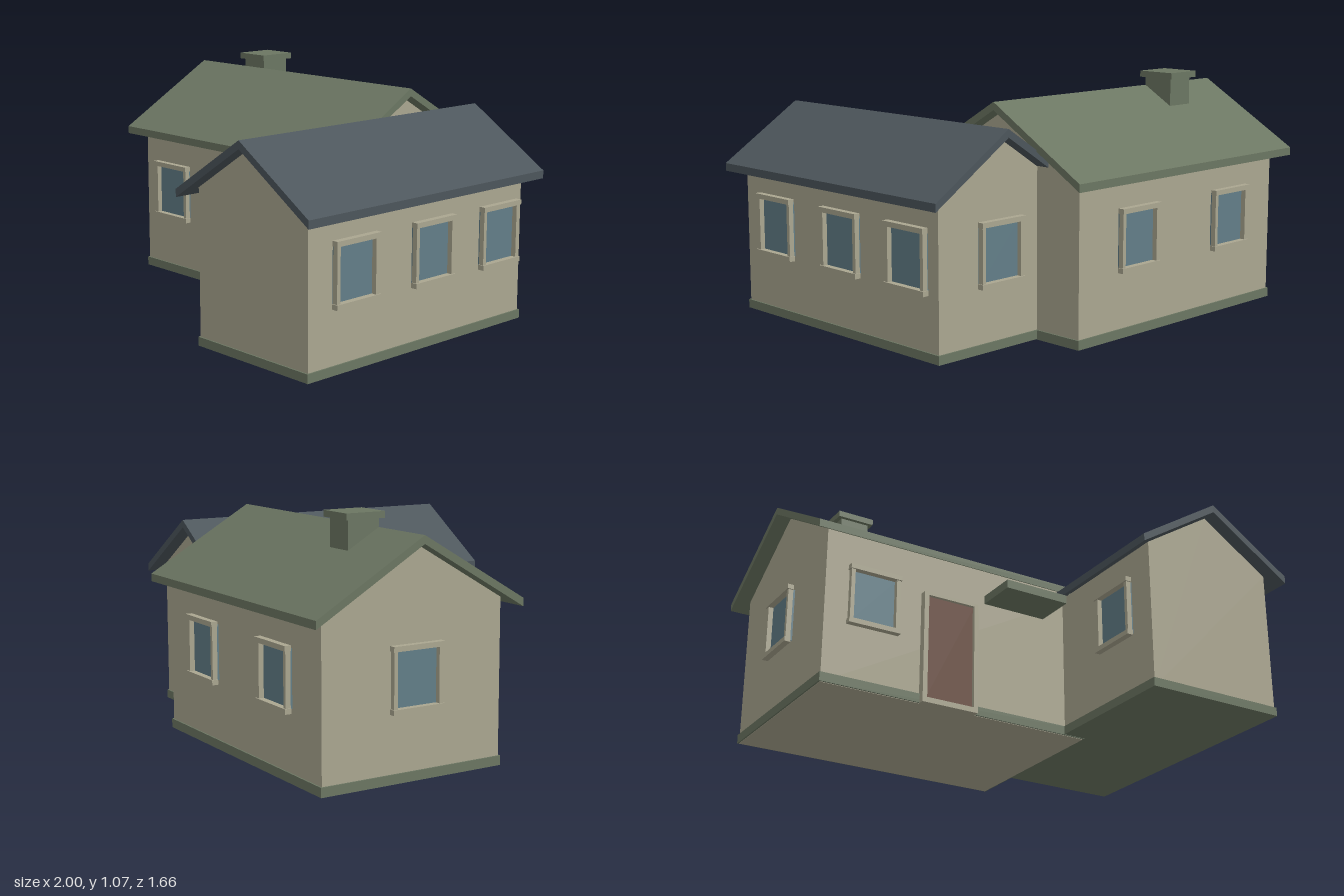
import * as THREE from 'three';

const mat = (name, color) => {
  const m = new THREE.MeshStandardMaterial({ color });
  m.name = name;
  return m;
};

export function createModel() {
  const wall = mat('plaster', 0xaaa690);
  const green = mat('sage green', 0x6b7662);
  const slate = mat('slate blue', 0x4c555b);
  const glass = mat('window glass', 0x627e88);
  const wood = mat('brown door', 0x68493a);

  const house = new THREE.Group();
  house.name = 'house';

  // Box given by its min and max corners
  function box(parent, name, material, [x0, y0, z0], [x1, y1, z1]) {
    const mesh = new THREE.Mesh(new THREE.BoxGeometry(x1 - x0, y1 - y0, z1 - z0), material);
    mesh.position.set((x0 + x1) / 2, (y0 + y1) / 2, (z0 + z1) / 2);
    mesh.name = name;
    parent.add(mesh);
    return mesh;
  }

  // Cross-section extruded along local z, centred
  function prism(parent, name, material, points, length) {
    const shape = new THREE.Shape(points.map(([x, y]) => new THREE.Vector2(x, y)));
    const geo = new THREE.ExtrudeGeometry(shape, { depth: length, bevelEnabled: false });
    geo.translate(0, 0, -length / 2);
    const mesh = new THREE.Mesh(geo, material);
    mesh.name = name;
    parent.add(mesh);
  }

  // Gabled wing with its ridge along local z
  function wing(name, o) {
    const g = new THREE.Group();
    g.name = name;
    const t = 0.035, gap = 0.002;
    const slope = (o.ridge - o.eave) / o.roofHalf;
    const under = x => o.ridge - t - gap - slope * x;
    const w = o.wallHalf, r = o.roofHalf;
    prism(g, name + 'Walls', wall,
      [[-w, o.wallBase], [w, o.wallBase], [w, under(w)], [0, under(0)], [-w, under(w)]], o.wallLength);
    prism(g, name + 'Roof', o.roof,
      [[-r, o.eave - t], [0, o.ridge - t], [r, o.eave - t], [r, o.eave], [0, o.ridge], [-r, o.eave]], o.roofLength);
    const p = 0.007, h = o.wallLength / 2 + p;
    box(g, name + 'Plinth', green, [-w - p, o.plinthBase, -h], [w + p, 0.043, h]);
    house.add(g);
    return g;
  }

  const mainWing = wing('mainWing', {
    ridge: 1.003, eave: 0.713, roofHalf: 0.495, roofLength: 1.445,
    wallHalf: 0.43, wallLength: 1.305, wallBase: 0, plinthBase: 0.002, roof: green,
  });
  mainWing.rotation.y = Math.PI / 2;
  mainWing.position.set(-0.2775, 0, -0.335);

  const sideWing = wing('sideWing', {
    ridge: 0.928, eave: 0.675, roofHalf: 0.395, roofLength: 1.42,
    wallHalf: 0.325, wallLength: 1.29, wallBase: 0.006, plinthBase: 0.004, roof: slate,
  });
  sideWing.position.set(0.605, 0, 0.12);

  // Window facing local +z, with the wall plane at z = 0
  function addWindow(x, y, z, turn) {
    const g = new THREE.Group();
    g.name = 'window';
    box(g, 'pane', glass, [-0.108, -0.122, 0], [0.108, 0.122, 0.012]);
    for (const s of [-1, 1]) {
      const jx = s * 0.109, ry = s * 0.127;
      box(g, 'frameJamb', wall, [jx - 0.009, -0.118, 0.013], [jx + 0.009, 0.118, 0.036]);
      box(g, 'frameRail', wall, [-0.123, ry - 0.011, 0.013], [0.123, ry + 0.011, 0.042]);
    }
    g.position.set(x, y, z);
    g.rotation.y = turn;
    house.add(g);
  }
  const q = Math.PI / 2;
  for (const z of [0.525, 0.07, -0.355]) addWindow(0.93, 0.419, z, q);
  addWindow(0.28, 0.419, 0.525, -q);
  addWindow(0.605, 0.419, -0.525, 2 * q);
  addWindow(-0.708, 0.419, 0.095, 0);
  addWindow(-0.93, 0.431, -0.335, -q);
  for (const x of [0.025, -0.6]) addWindow(x, 0.431, -0.765, 2 * q);

  // Front door with frame
  const door = new THREE.Group();
  door.name = 'frontDoor';
  box(door, 'doorPanel', wood, [-0.45, 0.015, 0.09], [-0.21, 0.512, 0.112]);
  box(door, 'doorJamb', wall, [-0.468, 0, 0.09], [-0.446, 0.52, 0.128]);
  box(door, 'doorJamb', wall, [-0.216, 0, 0.09], [-0.195, 0.52, 0.128]);
  box(door, 'doorHeader', wall, [-0.446, 0.506, 0.09], [-0.216, 0.52, 0.128]);
  box(door, 'doorThreshold', wall, [-0.446, 0, 0.09], [-0.216, 0.024, 0.128]);
  house.add(door);

  box(house, 'porchCanopy', green, [-0.145, 0.551, 0.09], [0.168, 0.59, 0.293]);

  // Chimney
  const chimney = new THREE.Group();
  chimney.name = 'chimney';
  box(chimney, 'chimneyStack', green, [-0.675, 0.85, -0.483], [-0.538, 1.041, -0.335]);
  box(chimney, 'chimneyCap', green, [-0.695, 1.041, -0.503], [-0.52, 1.069, -0.317]);
  house.add(chimney);

  return house;
}
